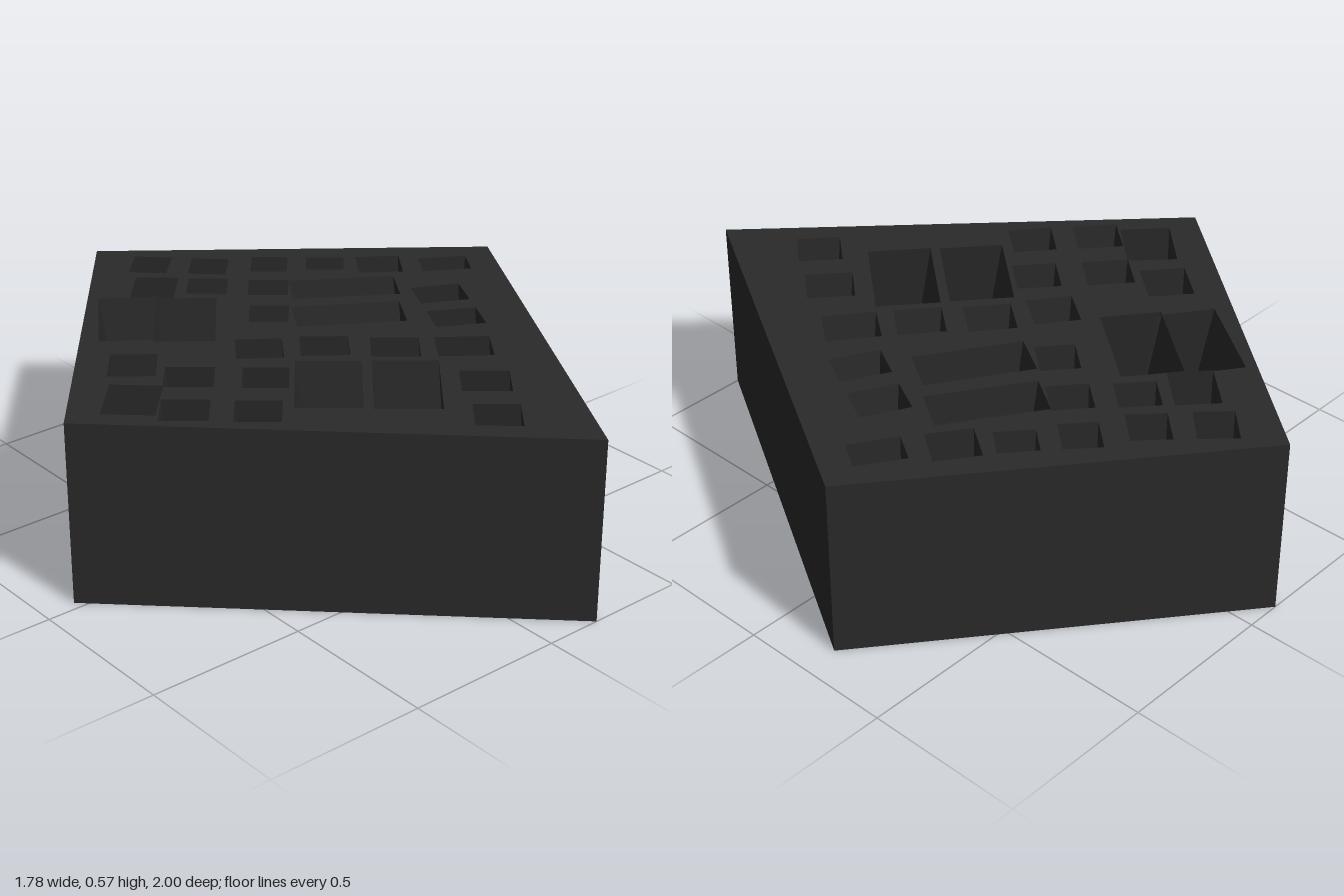
import * as THREE from 'three';

const HEIGHT = 0.575;

// Footprint corners [x, z], in order round the block
const OUTLINE = [[-0.11, -1], [0.89, -0.215], [0.18, 1], [-0.895, -0.03]];

// Shafts: [x, z, width, depth, turn in degrees]
const STRAIGHT = [
  [-0.045, -0.795, 0.12, 0.13, 45], [0.09, -0.665, 0.12, 0.125, 43],
  [0.25, -0.555, 0.115, 0.12, 41], [0.39, -0.445, 0.12, 0.1, 40],
  [0.52, -0.33, 0.14, 0.13, 35], [0.685, -0.2, 0.155, 0.105, 32],
  [-0.145, -0.635, 0.135, 0.165, 42], [-0.01, -0.54, 0.125, 0.12, 41],
  [0.13, -0.41, 0.125, 0.12, 40], [0.005, -0.25, 0.12, 0.125, 40],
  [-0.53, -0.215, 0.14, 0.15, 39], [-0.665, -0.03, 0.155, 0.19, 43],
];
const DEEP_SLOTS = [
  [-0.325, -0.45, 0.105, 0.27, 35], [-0.2, -0.335, 0.105, 0.27, 38],
  [-0.16, 0.29, 0.115, 0.26, 40], [0.01, 0.435, 0.115, 0.27, 40],
];
const WIDE_SLOTS = [[0.325, -0.22, 0.27, 0.095, 33], [0.205, -0.055, 0.27, 0.1, 32]];
const SMALL = [
  [0.54, -0.04, 0.11, 0.08, 27], [0.455, 0.125, 0.11, 0.075, 28],
  [0.33, 0.3, 0.12, 0.09, 37], [-0.145, -0.075, 0.095, 0.09, 36],
  [0.015, 0.035, 0.1, 0.09, 38], [0.17, 0.175, 0.1, 0.09, 39],
  [-0.42, -0.05, 0.1, 0.09, 40], [-0.255, 0.095, 0.09, 0.09, 40],
  [-0.56, 0.115, 0.095, 0.09, 40], [-0.405, 0.25, 0.09, 0.09, 40],
  [0.215, 0.515, 0.1, 0.09, 40], [0.09, 0.695, 0.09, 0.09, 40],
];

// Corners of a turned rectangle, widened on any of its four sides
function rect([x, z, w, d, turn], west = 0, north = 0, east = 0, south = 0) {
  const a = THREE.MathUtils.degToRad(turn), c = Math.cos(a), s = Math.sin(a);
  const u0 = -w / 2 - west, u1 = w / 2 + east, v0 = -d / 2 - north, v1 = d / 2 + south;
  return [[u0, v0], [u1, v0], [u1, v1], [u0, v1]]
    .map(([u, v]) => [x + u * c - v * s, z + u * s + v * c]);
}

// Flat-shaded geometry from four-cornered faces
function quads(faces) {
  const pos = faces.flatMap(([a, b, c, d]) => [...a, ...b, ...c, ...a, ...c, ...d]);
  const geo = new THREE.BufferGeometry();
  geo.setAttribute('position', new THREE.Float32BufferAttribute(pos, 3));
  geo.computeVertexNormals();
  return geo;
}

// Walls between a lower and an upper loop
function walls(lower, upper) {
  return quads(lower.map(([x, z], i) => {
    const j = (i + 1) % lower.length;
    return [[x, 0, z], [upper[i][0], HEIGHT, upper[i][1]],
      [upper[j][0], HEIGHT, upper[j][1]], [lower[j][0], 0, lower[j][1]]];
  }));
}

// Left and right x of a convex loop at depth z
function span(loop, z) {
  const xs = [];
  loop.forEach(([ax, az], i) => {
    const [bx, bz] = loop[(i + 1) % loop.length];
    if (az !== bz && (az - z) * (bz - z) <= 0) xs.push(ax + (bx - ax) * (z - az) / (bz - az));
  });
  return [Math.min(...xs), Math.max(...xs)];
}

// Horizontal face with openings, cut into strips between successive corner depths
function plate(holes, y, up) {
  const faces = [];
  const levels = [OUTLINE, ...holes].flat().map((p) => p[1]).sort((a, b) => a - b);
  for (let i = 0; i + 1 < levels.length; i++) {
    const z0 = levels[i], z1 = levels[i + 1];
    if (z1 - z0 < 1e-6) continue;
    // Each strip edge is a pair of x values, at z0 and at z1
    const edges = (loop) => {
      const a = span(loop, z0), b = span(loop, z1);
      return { left: [a[0], b[0]], right: [a[1], b[1]] };
    };
    const mid = (edge) => edge[0] + edge[1];
    const fill = (l, r) => {
      if (mid(r) <= mid(l)) return;
      const face = [[l[0], y, z0], [l[1], y, z1], [r[1], y, z1], [r[0], y, z0]];
      faces.push(up ? face : face.reverse());
    };
    const outer = edges(OUTLINE);
    const gaps = holes
      .filter((h) => Math.min(...h.map((p) => p[1])) <= z0 && Math.max(...h.map((p) => p[1])) >= z1)
      .map(edges)
      .sort((a, b) => mid(a.left) - mid(b.left));
    let start = outer.left;
    for (const gap of gaps) {
      fill(start, gap.left);
      if (mid(gap.right) > mid(start)) start = gap.right;
    }
    fill(start, outer.right);
  }
  return quads(faces);
}

export function createModel() {
  const group = new THREE.Group();
  group.name = 'piercedBlock';
  const charcoal = new THREE.MeshStandardMaterial({ color: 0x2a2a2a });
  charcoal.name = 'charcoal';
  const add = (name, geo) => {
    const mesh = new THREE.Mesh(geo, charcoal);
    mesh.name = name;
    group.add(mesh);
  };

  // Name, lower opening and upper opening; the slanted shafts lean as they rise
  const shafts = [
    ...STRAIGHT.map((h) => ['straightShaft', rect(h), rect(h)]),
    ...DEEP_SLOTS.map((h) => ['deepSlot', rect(h, 0, 0, 0.04, 0.05), rect(h, 0.08, 0.05)]),
    ...WIDE_SLOTS.map((h) => ['wideSlot', rect(h, 0, 0, 0.04), rect(h, 0.065, 0.05)]),
    ...SMALL.map((h) => ['smallShaft', rect(h, 0, 0.035, 0.04), rect(h, 0.045, 0, 0, 0.045)]),
  ];

  add('outerWalls', walls(OUTLINE, OUTLINE));
  add('topFace', plate(shafts.map((s) => s[2]), HEIGHT, true));
  add('bottomFace', plate(shafts.map((s) => s[1]), 0, false));

  // Shaft walls face inwards, so their loops run the other way
  for (const [name, lower, upper] of shafts) {
    add(name, walls([...lower].reverse(), [...upper].reverse()));
  }
  return group;
}
